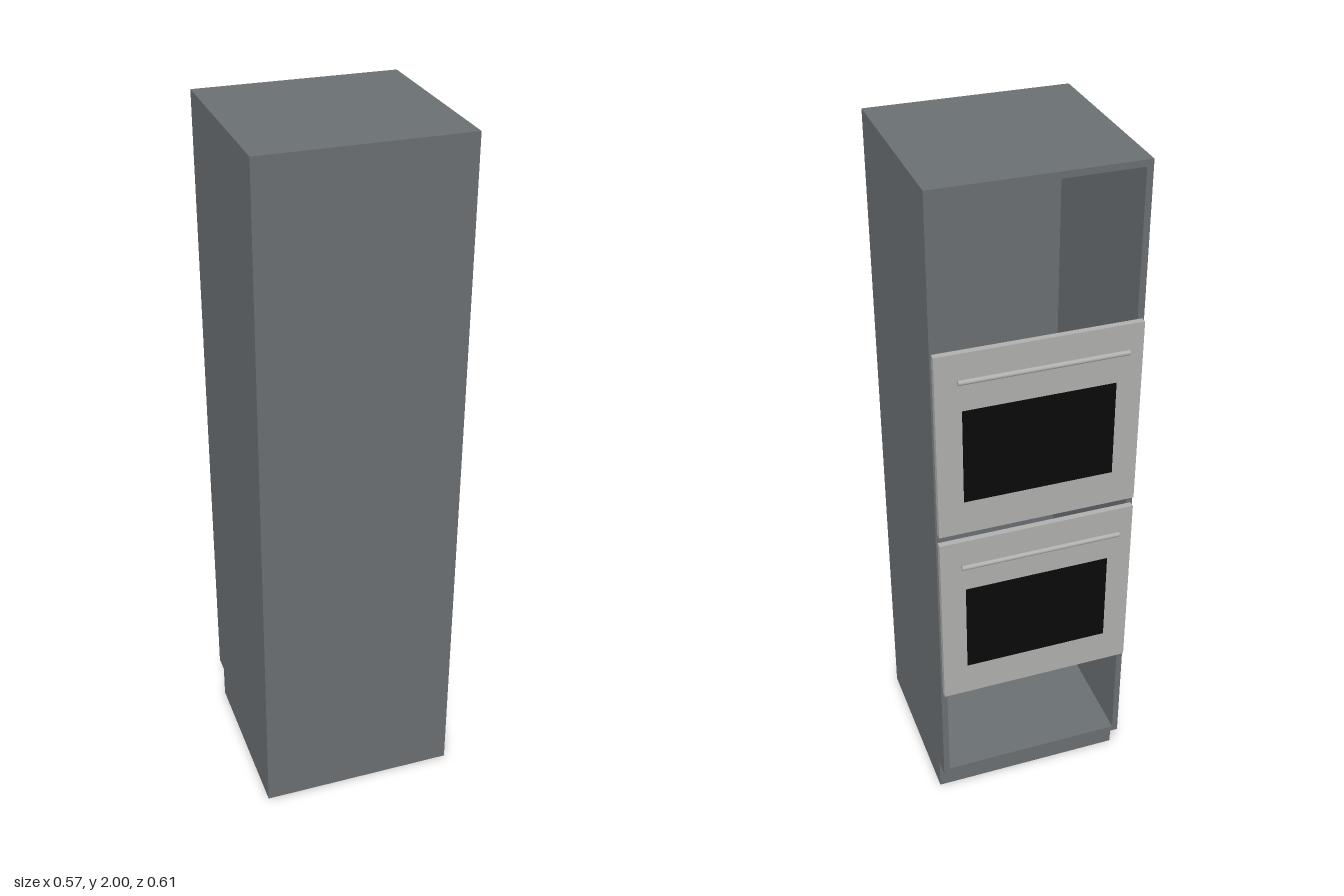
import * as THREE from 'three';

export function createModel() {
  const group = new THREE.Group();
  group.name = 'ovenCabinet';

  const material = (name, color) => {
    const m = new THREE.MeshStandardMaterial({ color });
    m.name = name;
    return m;
  };
  const carcass = material('slate grey', 0x6b7073);
  const steel = material('steel', 0xb0b0ae);
  const glass = material('black glass', 0x0a0a0a);

  // Box given by its limits on each axis
  const box = (name, mat, [x0, x1], [y0, y1], [z0, z1], parent = group) => {
    const mesh = new THREE.Mesh(new THREE.BoxGeometry(x1 - x0, y1 - y0, z1 - z0), mat);
    mesh.position.set((x0 + x1) / 2, (y0 + y1) / 2, (z0 + z1) / 2);
    mesh.name = name;
    parent.add(mesh);
  };

  // Hollow tall carcass, open towards -z
  const W = 0.286, T = 0.018, open = -0.25, back = 0.305, floor = 0.1;
  const inner = [-W + T, W - T];
  box('leftSide', carcass, [W - T, W], [floor, 2], [open, back]);
  box('rightSide', carcass, [-W, -W + T], [floor, 2], [open, back]);
  box('topPanel', carcass, inner, [2 - T, 2], [open, back]);
  box('bottomPanel', carcass, inner, [floor, floor + T], [open, back]);
  box('backPanel', carcass, inner, [floor + T, 2 - T], [back - 0.01, back]);

  // Recessed plinth
  box('plinth', carcass, [-W, W], [0, floor], [-0.2, back]);

  // Two identical oven fronts: door, window and floating bar handle
  [['lowerOven', 0.44], ['upperOven', 1.021]].forEach(([name, y]) => {
    const oven = new THREE.Group();
    oven.name = name;
    oven.position.y = y;
    box('door', steel, [-0.281, 0.281], [0, 0.552], [-0.268, open], oven);
    box('window', glass, [-0.21, 0.21], [0.103, 0.385], [-0.27, -0.267], oven);

    const handle = new THREE.Mesh(new THREE.CylinderGeometry(0.007, 0.007, 0.458, 16), steel);
    handle.name = 'handle';
    handle.rotation.z = Math.PI / 2;
    handle.position.set(0, 0.488, -0.298);
    oven.add(handle);
    group.add(oven);
  });

  return group;
}
